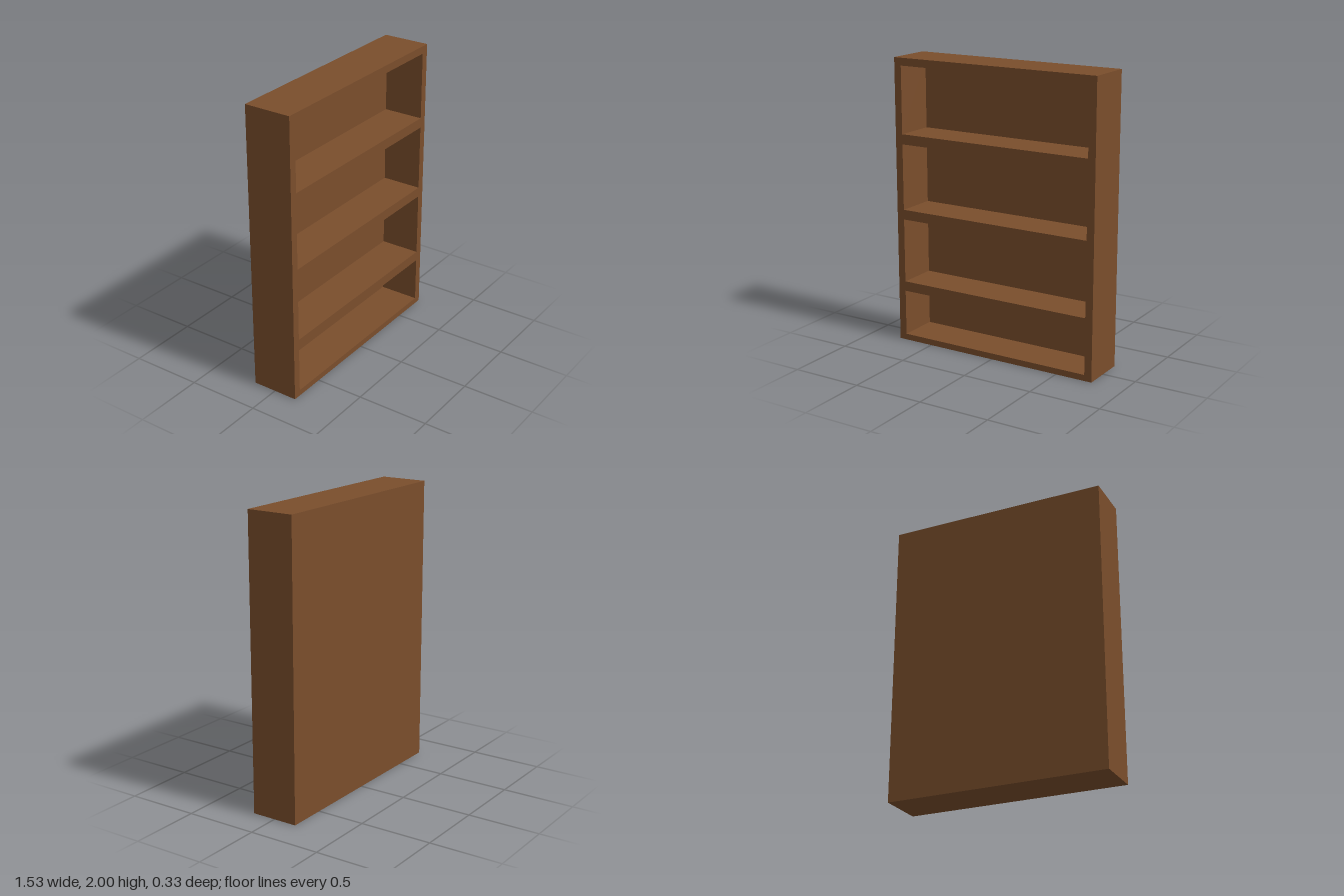
import * as THREE from 'three';

const WIDTH = 1.53, HEIGHT = 2, DEPTH = 0.33, BACK = 0.045;
const INNER = 0.712; // half width of the openings
// bottom and top of each shelf opening
const OPENINGS = [[0.042, 0.363], [0.432, 0.881], [0.95, 1.41], [1.48, 1.947]];

function rectangle(path, x, y0, y1) {
  path.moveTo(-x, y0);
  path.lineTo(x, y0);
  path.lineTo(x, y1);
  path.lineTo(-x, y1);
  path.closePath();
  return path;
}

export function createModel() {
  const group = new THREE.Group();
  group.name = 'bookcase';
  const wood = new THREE.MeshStandardMaterial({ color: 0x7a4e2c });
  wood.name = 'brown wood';

  // Sides, top, base and shelves in one piece, open at the bays
  const outline = rectangle(new THREE.Shape(), WIDTH / 2, 0, HEIGHT);
  for (const [y0, y1] of OPENINGS) {
    outline.holes.push(rectangle(new THREE.Path(), INNER, y0, y1));
  }
  const frameGeometry = new THREE.ExtrudeGeometry(outline, { depth: DEPTH - BACK, bevelEnabled: false });
  frameGeometry.translate(0, 0, -DEPTH / 2 + BACK);
  const frame = new THREE.Mesh(frameGeometry, wood);
  frame.name = 'frameAndShelves';
  group.add(frame);

  // Back panel closing the bays
  const back = new THREE.Mesh(new THREE.BoxGeometry(WIDTH, HEIGHT, BACK), wood);
  back.position.set(0, HEIGHT / 2, -DEPTH / 2 + BACK / 2);
  back.name = 'backPanel';
  group.add(back);

  return group;
}
